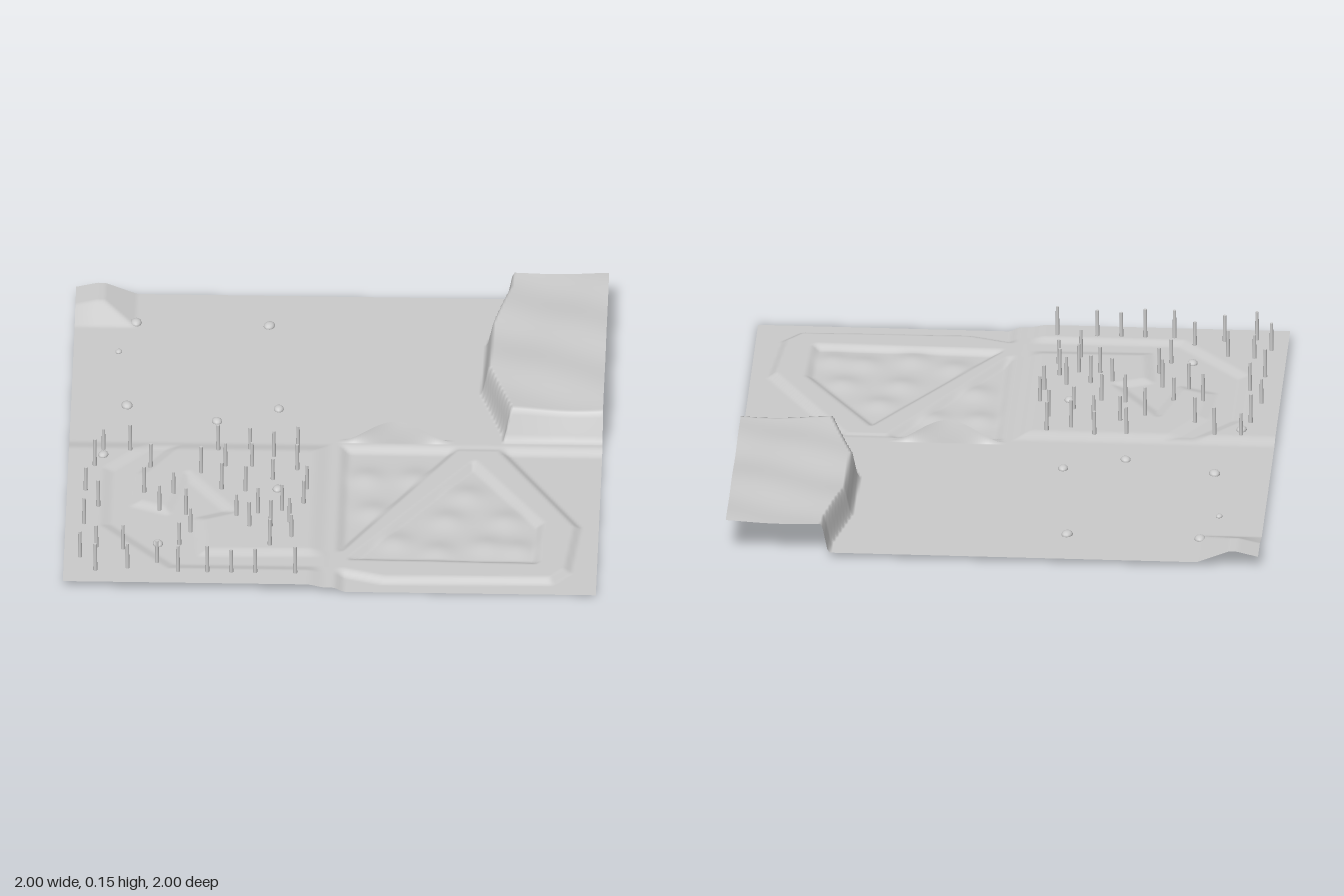
import * as THREE from 'three';

const mat = new THREE.MeshStandardMaterial({ color: 0xcccccc, side: THREE.DoubleSide });
const step = (a, b, v) => THREE.MathUtils.smoothstep(v, a, b);
const ramp = (a, b, v) => THREE.MathUtils.clamp((v - a) / (b - a), 0, 1);

// Signed distance to a polygon, negative inside
function polyDist(pts, x, z) {
  let d = Infinity, inside = false;
  for (let i = 0, j = pts.length - 1; i < pts.length; j = i++) {
    const [ax, az] = pts[i], [bx, bz] = pts[j];
    const ex = bx - ax, ez = bz - az;
    const t = ramp(0, ex * ex + ez * ez, (x - ax) * ex + (z - az) * ez);
    d = Math.min(d, Math.hypot(x - ax - ex * t, z - az - ez * t));
    if ((az > z) !== (bz > z) && x < ax + (ex * (z - az)) / ez) inside = !inside;
  }
  return inside ? -d : d;
}

// Track outlines
const outerTrack = [[-0.05, 0.88], [0.04, 0.88], [0.2, 0.93], [0.83, 0.92], [0.89, 0.85], [0.92, 0.55],
  [0.62, 0.03], [0.45, 0.03], [0.04, 0.73], [-0.05, 0.77]];
const innerTrack = [[0.52, 0.13], [0.78, 0.54], [0.77, 0.8], [0.08, 0.79]];
const sunkenTrack = [[0.02, 0.77], [-0.48, 0.78], [-0.5, 0.55], [-0.38, 0.5], [-0.55, 0.25], [-0.62, 0.5],
  [-0.74, 0.45], [-0.72, 0.24], [-0.6, 0.05], [-0.7, 0.05], [-0.85, 0.22], [-0.85, 0.6], [-0.6, 0.88], [0.02, 0.88]];
const plateau = [[0.63, -1.2], [0.61, -0.92], [0.55, -0.67], [0.54, -0.35], [0.63, -0.06], [0.63, -0.015],
  [1.4, -0.015], [1.4, -1.2]];
const mounds = [[0.15, 0.45], [0.3, 0.22], [0.12, 0.22], [0.43, 0.5], [0.4, 0.72], [0.65, 0.5], [0.58, 0.68],
  [0.24, 0.66], [0.7, 0.7], [0.5, 0.33]];

// Height of the ground at any point
function height(x, z) {
  let y = 0.02;
  if (z >= 0 && x >= 0) {
    // Low floor with small mounds and a raised track loop
    let bumps = 0;
    for (const [mx, mz] of mounds) bumps += 0.012 * Math.exp(-((x - mx) ** 2 + (z - mz) ** 2) / 0.004);
    y = 0.02 + (0.002 + bumps - 0.02) * step(0.01, 0.06, Math.min(x, z));
    const onTrack = ramp(0.015, -0.015, polyDist(outerTrack, x, z)) * ramp(-0.015, 0.015, polyDist(innerTrack, x, z));
    y += (0.02 - y) * onTrack;
  } else if (z >= 0) {
    // Raised bank with a sunken track
    y += 0.013 * step(0.01, 0.09, Math.min(-x, z));
    y -= (y - 0.022) * ramp(0.02, -0.02, polyDist(sunkenTrack, x, z)) * step(0, 0.03, -x);
  } else {
    // Long ridge
    const across = Math.min(Math.abs(x - 0.225) / 0.225, 1);
    y += 0.09 * 0.5 * (1 + Math.cos(Math.PI * across)) * step(-0.01, -0.2, z);
    // Corner hill
    y += 0.048 * Math.min(ramp(-0.77, -0.89, x), ramp(-0.77, -0.88, z)) * (1 - 0.4 * ramp(-0.92, -1, x));
    // Steep-sided plateau with a softer front slope
    const d = polyDist(plateau, x, z);
    const rise = Math.min(ramp(0, -0.024, d), ramp(-0.015, -0.065, z));
    const top = 0.137 + 0.005 * Math.sin(x * 13 + z * 6) + 0.004 * Math.sin(z * 17 - x * 7);
    y += (top - y) * rise;
  }
  return Math.max(y, 0);
}

function terrain() {
  const geo = new THREE.PlaneGeometry(2, 2, 220, 220).rotateX(-Math.PI / 2);
  const p = geo.attributes.position;
  for (let i = 0; i < p.count; i++) p.setY(i, height(p.getX(i), p.getZ(i)));
  geo.computeVertexNormals();
  const mesh = new THREE.Mesh(geo, mat);
  mesh.name = 'terrain';
  return mesh;
}

// Slender posts, x and z pairs
const postSpots = [
  -0.87, 0.09, -0.77, 0.09, -0.9, 0.2, -0.69, 0.2, -0.93, 0.37, -0.88, 0.48, -0.71, 0.38, -0.6, 0.38,
  -0.65, 0.49, -0.55, 0.51, -0.53, 0.63, -0.57, 0.72, -0.93, 0.6, -0.94, 0.83, -0.88, 0.76, -0.78, 0.77,
  -0.88, 0.92, -0.76, 0.9, -0.65, 0.86, -0.57, 0.92, -0.46, 0.92, -0.37, 0.92, -0.28, 0.92, -0.13, 0.92,
  -0.44, 0.08, -0.32, 0.07, -0.23, 0.12, -0.14, 0.09, -0.41, 0.19, -0.31, 0.19, -0.5, 0.24, -0.14, 0.21,
  -0.23, 0.28, -0.33, 0.36, -0.42, 0.35, -0.1, 0.34, -0.11, 0.44, -0.19, 0.49, -0.28, 0.51, -0.36, 0.53,
  -0.16, 0.57, -0.23, 0.6, -0.31, 0.6, -0.15, 0.67, -0.23, 0.73];

function posts() {
  const group = new THREE.Group();
  group.name = 'treeTrunks';
  const geo = new THREE.CylinderGeometry(0.006, 0.008, 1, 8).translate(0, 0.5, 0);
  for (let i = 0; i < postSpots.length; i += 2) {
    const x = postSpots[i], z = postSpots[i + 1];
    const trunk = new THREE.Mesh(geo, mat);
    trunk.name = 'treeTrunk';
    trunk.position.set(x, height(x, z) - 0.004, z);
    trunk.scale.y = 0.095 + 0.025 * Math.abs(Math.sin(i * 2.7));
    group.add(trunk);
  }
  return group;
}

// Small rounded stones: x, z, size
const stones = [[-0.77, -0.8, 1], [-0.27, -0.79, 1], [-0.83, -0.6, 0.6], [-0.79, -0.23, 1], [-0.45, -0.13, 0.9],
  [-0.22, -0.22, 0.9], [-0.87, 0.13, 0.9], [-0.21, 0.35, 0.9], [-0.65, 0.72, 0.9]];

function rocks() {
  const group = new THREE.Group();
  group.name = 'rocks';
  const geo = new THREE.SphereGeometry(0.025, 12, 8).scale(0.85, 0.6, 1);
  stones.forEach(([x, z, s], i) => {
    const rock = new THREE.Mesh(geo, mat);
    rock.name = 'rock';
    rock.position.set(x, height(x, z) + 0.002, z);
    rock.rotation.y = Math.sin(i * 5) * 0.4;
    rock.scale.setScalar(s);
    group.add(rock);
  });
  return group;
}

export function createModel() {
  const model = new THREE.Group();
  model.name = 'landscapeTile';
  model.add(terrain(), posts(), rocks());
  return model;
}
